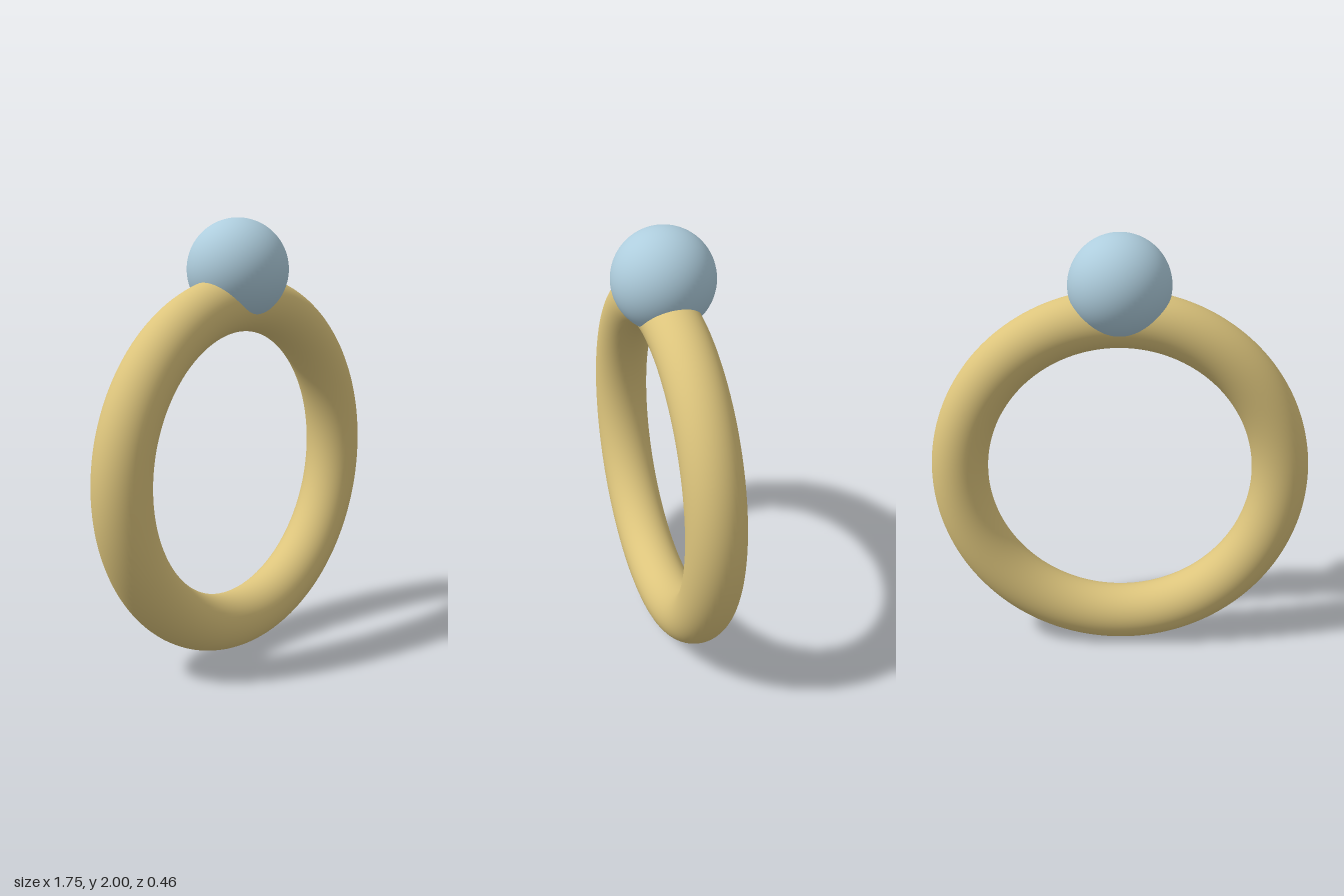
import * as THREE from 'three';

export function createModel() {
  const group = new THREE.Group();
  const gold = new THREE.MeshStandardMaterial({ color: 0xdcc47c });
  gold.name = 'gold';
  const paleBlue = new THREE.MeshStandardMaterial({ color: 0xaecddd });
  paleBlue.name = 'pale blue';

  // Round band standing upright, resting on y = 0
  const bandRadius = 0.745, tubeRadius = 0.13;
  const band = new THREE.Mesh(new THREE.TorusGeometry(bandRadius, tubeRadius, 48, 160), gold);
  band.name = 'band';
  band.position.y = bandRadius + tubeRadius;
  group.add(band);

  // Round gem sunk into the top of the band
  const gemRadius = 0.23;
  const gem = new THREE.Mesh(new THREE.SphereGeometry(gemRadius, 64, 48), paleBlue);
  gem.name = 'gem';
  gem.position.y = 2 - gemRadius;
  group.add(gem);

  return group;
}
